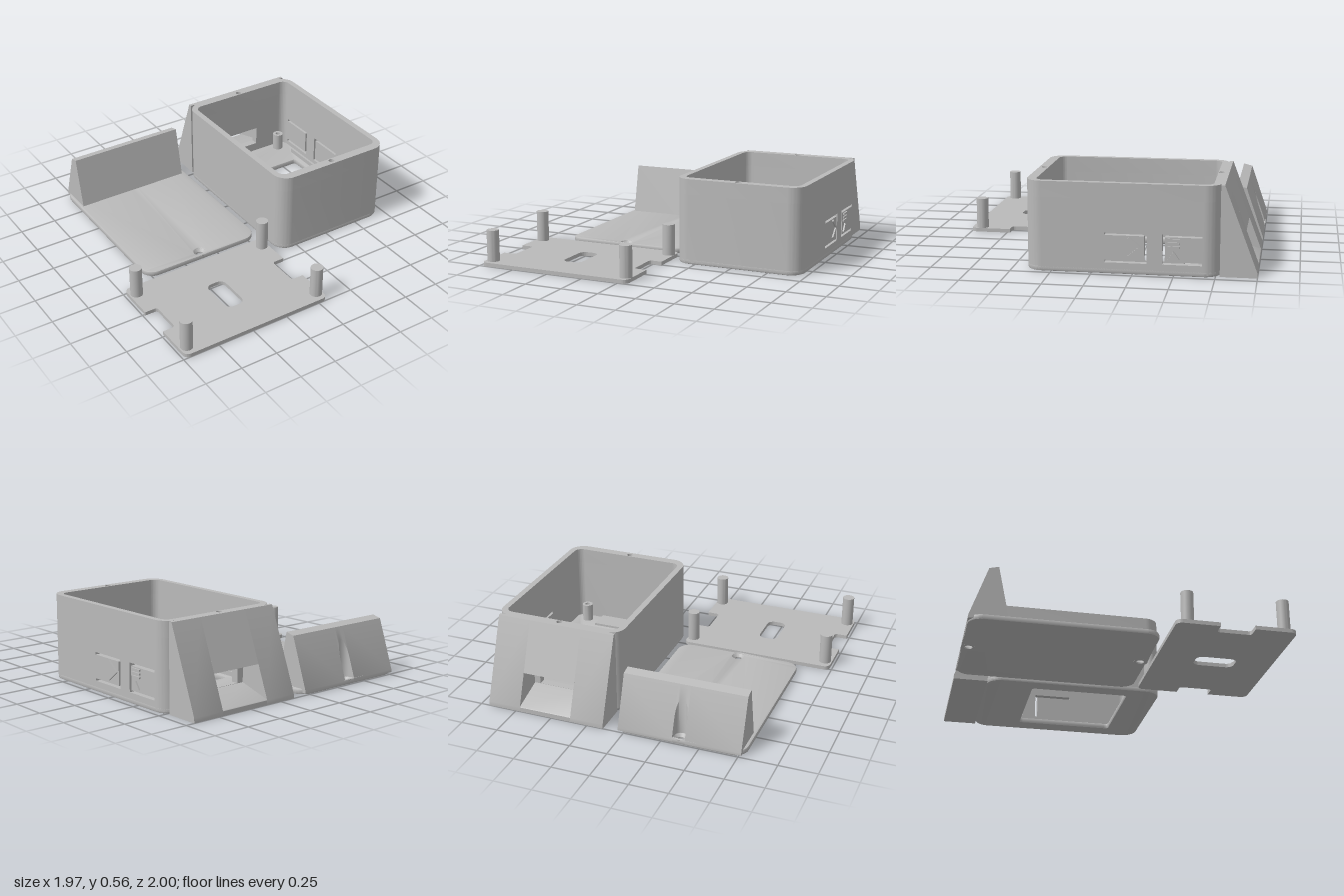
import * as THREE from 'three';
import { toCreasedNormals } from 'three/addons/utils/BufferGeometryUtils.js';

const plastic = new THREE.MeshStandardMaterial({ color: 0xbababa });
plastic.name = 'grey plastic';

function add(parent, name, geo) {
  const mesh = new THREE.Mesh(toCreasedNormals(geo, 0.6), plastic);
  mesh.name = name;
  parent.add(mesh);
  return mesh;
}

// Rounded rectangle; a plan shape uses (x, -z)
function roundRect(x0, y0, x1, y1, r) {
  const s = new THREE.Shape();
  s.absarc(x1 - r, y1 - r, r, 0, Math.PI / 2);
  s.absarc(x0 + r, y1 - r, r, Math.PI / 2, Math.PI);
  s.absarc(x0 + r, y0 + r, r, Math.PI, Math.PI * 1.5);
  s.absarc(x1 - r, y0 + r, r, Math.PI * 1.5, Math.PI * 2);
  s.closePath();
  return s;
}
const plan = (x0, z0, x1, z1, r) => roundRect(x0, -z1, x1, -z0, r);
const circle = (x, z, r) => new THREE.Path().absarc(x, -z, r, 0, Math.PI * 2);
const poly = pts => new THREE.Shape(pts.map(p => new THREE.Vector2(...p)));

// Extrude a plan shape upwards
function slab(shape, y0, y1, bevel = 0) {
  const geo = new THREE.ExtrudeGeometry(shape, {
    depth: y1 - y0 - 2 * bevel, curveSegments: 10, bevelEnabled: bevel > 0,
    bevelSize: bevel, bevelThickness: bevel, bevelOffset: -bevel, bevelSegments: 2,
  });
  return geo.rotateX(-Math.PI / 2).translate(0, y0 + bevel, 0);
}
// Extrude a (z, y) shape along x
const alongX = (shape, x0, x1) =>
  new THREE.ExtrudeGeometry(shape, { depth: x1 - x0, bevelEnabled: false })
    .rotateY(-Math.PI / 2).translate(x1, 0, 0);
const block = (x0, x1, y0, y1, z0, z1) =>
  new THREE.BoxGeometry(x1 - x0, y1 - y0, z1 - z0)
    .translate((x0 + x1) / 2, (y0 + y1) / 2, (z0 + z1) / 2);
const lathe = (pts, x, z) =>
  new THREE.LatheGeometry(pts.map(p => new THREE.Vector2(...p)), 28).translate(x, 0, z);

function createCase() {
  const g = new THREE.Group();
  g.name = 'case';
  const H = Math.PI / 2, low = 0.012, mid = 0.46, top = 0.56;

  // Floor with display opening
  const floor = plan(0.11, -0.78, 0.97, 0.41, 0.1);
  floor.holes.push(plan(0.215, -0.46, 0.85, 0.19, 0.02));
  add(g, 'caseFloor', slab(floor, 0, 0.04, 0.01));

  // Upper rim with two screw holes
  const rim = plan(0.11, -0.78, 0.97, 0.41, 0.1);
  rim.holes.push(plan(0.15, -0.73, 0.93, 0.35, 0.05),
    circle(0.535, -0.752, 0.019), circle(0.535, 0.375, 0.019));
  add(g, 'caseRim', slab(rim, mid, top));

  // Left and front walls with three corners
  const walls = new THREE.Shape();
  walls.absarc(0.21, 0.68, 0.1, H, 2 * H);
  walls.absarc(0.21, -0.31, 0.1, 2 * H, 3 * H);
  walls.absarc(0.87, -0.31, 0.1, 3 * H, 4 * H);
  walls.lineTo(0.93, -0.31);
  walls.absarc(0.88, -0.30, 0.05, 0, -H, true);
  walls.absarc(0.20, -0.30, 0.05, 3 * H, 2 * H, true);
  walls.absarc(0.20, 0.68, 0.05, 2 * H, H, true);
  walls.lineTo(0.21, 0.73);
  add(g, 'caseWalls', slab(walls, low, mid));

  // Remaining rear corner
  const corner = new THREE.Shape();
  corner.absarc(0.87, 0.68, 0.1, 0, H);
  corner.lineTo(0.87, 0.73);
  corner.absarc(0.88, 0.68, 0.05, H, 0, true);
  add(g, 'rearCorner', slab(corner, low, mid));

  // Side panel with slots that free two flexible buttons
  const panel = poly([[-0.68, low], [0.31, low], [0.31, mid], [-0.68, mid]]);
  for (const [open, end] of [[-0.08, -0.338], [-0.672, -0.43]]) {
    const inner = end + Math.sign(open - end) * 0.017;
    panel.holes.push(poly([[open, 0.07], [end, 0.07], [end, 0.256], [open, 0.256],
      [open, 0.24], [inner, 0.24], [inner, 0.086], [open, 0.086]]));
  }
  add(g, 'buttonPanel', alongX(panel, 0.93, 0.97));

  // Raised button marks
  const chevron = poly([[-0.22, 0.225], [-0.232, 0.235], [-0.31, 0.17], [-0.232, 0.105],
    [-0.22, 0.115], [-0.286, 0.17]]);
  const triangle = poly([[-0.535, 0.105], [-0.465, 0.105], [-0.5, 0.155]]);
  add(g, 'chevronMark', alongX(chevron, 0.965, 0.98));
  add(g, 'triangleMark', alongX(triangle, 0.965, 0.98));
  for (const y of [0.18, 0.203, 0.226])
    add(g, 'barMark', block(0.965, 0.98, y - 0.006, y + 0.006, -0.537, -0.463));

  // Rear wall with cable window
  const rear = poly([[0.21, low], [0.87, low], [0.87, mid], [0.21, mid]]);
  rear.holes.push(poly([[0.41, 0.1], [0.68, 0.1], [0.68, 0.23], [0.41, 0.23]]));
  add(g, 'rearWall', new THREE.ExtrudeGeometry(rear, { depth: 0.05, bevelEnabled: false })
    .translate(0, 0, -0.78));

  // Sloping rear stand around the window recess
  const side = poly([[-0.775, 0], [-0.775, top], [-0.798, top], [-1, 0.03], [-1, 0]]);
  add(g, 'standSide', alongX(side, 0.14, 0.365));
  add(g, 'standSide', alongX(side, 0.72, 0.94));
  const over = poly([[-0.775, 0.24], [-0.775, top], [-0.798, top], [-0.92, 0.24]]);
  add(g, 'standTop', alongX(over, 0.365, 0.72));
  const sill = poly([[-0.775, 0], [-0.775, 0.1], [-0.995, 0.035], [-1, 0.03], [-1, 0]]);
  add(g, 'standSill', alongX(sill, 0.365, 0.72));

  // Inner posts, ribs and support
  for (const x of [0.225, 0.84]) for (const z of [-0.675, 0.29])
    add(g, 'screwPost', lathe([[0.036, 0.03], [0.036, 0.16], [0.036, 0.16], [0.017, 0.16],
      [0.017, 0.16], [0.017, 0.06], [0.0001, 0.06]], x, z));
  add(g, 'innerRib', block(0.167, 0.18, 0.03, 0.07, -0.56, 0.14));
  add(g, 'innerRib', block(0.885, 0.897, 0.03, 0.07, -0.56, 0.14));
  add(g, 'frontSupport', block(0.315, 0.75, 0.03, 0.055, 0.215, 0.36));
  return g;
}

function createLid() {
  const g = new THREE.Group();
  g.name = 'lid';
  const cx = -0.365, cz = -0.955, r = 0.042;

  // Plate with two countersunk holes
  const plate = plan(-0.79, -0.998, 0.065, 0.195, 0.09);
  plate.holes.push(circle(cx, cz, 0.04), circle(cx, 0.152, 0.04));
  add(g, 'lidPlate', slab(plate, 0, 0.035, 0.008));
  for (const z of [cz, 0.152])
    add(g, 'countersink', lathe([[0.042, 0.002], [0.026, 0.002], [0.026, 0.012],
      [0.044, 0.034], [0.042, 0.002]].reverse(), cx, z)).geometry.computeBoundingSphere();

  // Sloping foot: cross-sections along x, scooped out above the rear screw
  const section = (x, cut) => {
    let z = -0.999, y = 0.03;
    if (cut) {
      z = cz + Math.sqrt(Math.max(0, r * r - (x - cx) ** 2));
      y = 0.36 - (-0.885 - z) / 0.345;
    }
    return [[-0.75, 0.012], [-0.825, 0.375], [-0.885, 0.36], [z, y], [z, 0.012]]
      .map(p => [x, p[1], p[0]]);
  };
  const rows = [section(-0.77), section(cx - r)];
  for (let i = 0; i <= 16; i++) rows.push(section(cx - r * Math.cos(Math.PI * i / 16), true));
  rows.push(section(cx + r), section(0.038));
  const tris = [], n = 5, last = rows.length - 1;
  for (let i = 0; i < last; i++) for (let j = 0; j < n; j++) {
    const k = (j + 1) % n, a = rows[i], b = rows[i + 1];
    tris.push(a[j], b[j], a[k], a[k], b[j], b[k]);
  }
  for (let j = 1; j < n - 1; j++) {
    tris.push(rows[0][0], rows[0][j], rows[0][j + 1]);
    tris.push(rows[last][0], rows[last][j + 1], rows[last][j]);
  }
  const foot = new THREE.BufferGeometry();
  foot.setAttribute('position', new THREE.Float32BufferAttribute(tris.flat(), 3));
  add(g, 'lidFoot', foot);
  return g;
}

function createBoard() {
  const g = new THREE.Group();
  g.name = 'mountingPlate';
  // Outline with a notch in each short side
  const s = new THREE.Shape(), H = Math.PI / 2, c = 0.04;
  const x0 = -0.985, x1 = 0.065, lo = -1, hi = -0.235, n0 = -0.73, n1 = -0.51, f = 0.02;
  s.absarc(x1 - c, hi - c, c, 0, H);
  s.absarc(x0 + c, hi - c, c, H, 2 * H);
  s.lineTo(x0, n1);
  s.absarc(-0.9 - f, n1 - f, f, H, 0, true);
  s.absarc(-0.9 - f, n0 + f, f, 0, -H, true);
  s.lineTo(x0, n0);
  s.absarc(x0 + c, lo + c, c, 2 * H, 3 * H);
  s.absarc(x1 - c, lo + c, c, 3 * H, 4 * H);
  s.lineTo(x1, n0);
  s.absarc(-0.02 + f, n0 + f, f, 3 * H, 2 * H, true);
  s.absarc(-0.02 + f, n1 - f, f, 2 * H, H, true);
  s.lineTo(x1, n1);
  s.holes.push(plan(-0.53, 0.49, -0.4, 0.757, 0.045));
  add(g, 'plate', slab(s, 0, 0.025));
  // Corner pegs
  for (const x of [-0.937, 0.024]) for (const z of [0.315, 0.93])
    add(g, 'peg', new THREE.CylinderGeometry(0.04, 0.04, 0.21, 28).translate(x, 0.125, z));
  return g;
}

export function createModel() {
  const model = new THREE.Group();
  model.name = 'deviceEnclosure';
  model.add(createCase(), createLid(), createBoard());
  return model;
}
